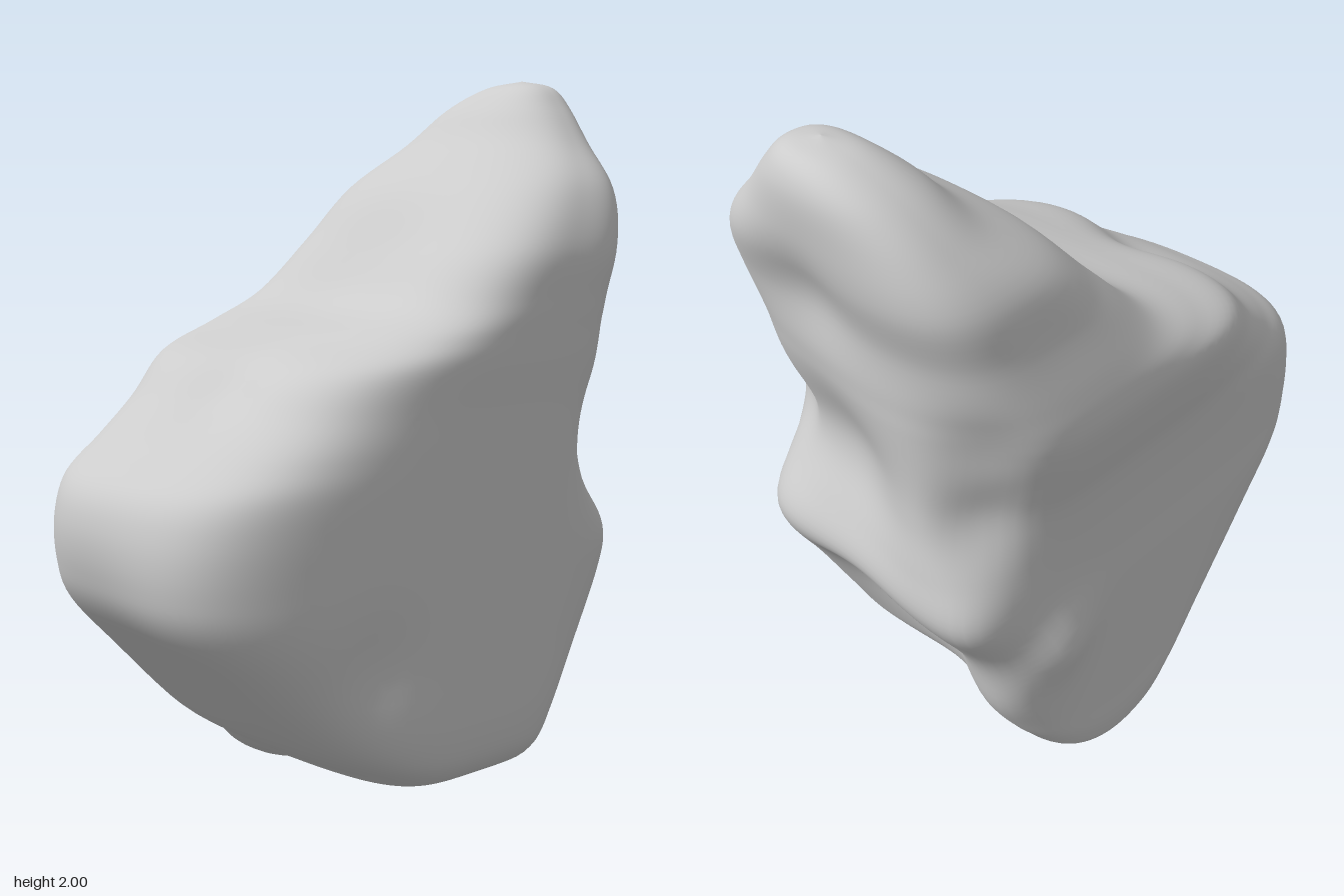
import * as THREE from 'three';

// Horizontal sections: y, front z, back z, x at the model's right, x at its left
const SECTIONS = [
  [0.14, -0.1, -0.1, -0.02, -0.02],
  [0.14, 0.04, -0.24, -0.25, 0.22],
  [0.15, 0.15, -0.34, -0.4, 0.39],
  [0.2, 0.24, -0.39, -0.435, 0.465],
  [0.3, 0.4, -0.45, -0.435, 0.49],
  [0.5, 0.6, -0.58, -0.435, 0.49],
  [0.65, 0.74, -0.67, -0.435, 0.49],
  [0.76, 0.785, -0.72, -0.43, 0.49],
  [0.88, 0.79, -0.715, -0.43, 0.49],
  [0.98, 0.75, -0.71, -0.435, 0.49],
  [1.06, 0.64, -0.71, -0.445, 0.49],
  [1.15, 0.51, -0.71, -0.47, 0.49],
  [1.26, 0.38, -0.71, -0.495, 0.495],
  [1.33, 0.2, -0.71, -0.495, 0.495],
  [1.41, 0.03, -0.71, -0.475, 0.495],
  [1.55, -0.1, -0.72, -0.43, 0.485],
  [1.7, -0.25, -0.77, -0.4, 0.41],
  [1.82, -0.43, -0.785, -0.31, 0.285],
  [1.92, -0.52, -0.78, -0.2, 0.195],
  [1.98, -0.59, -0.74, -0.08, 0.13],
  [2.0, -0.66, -0.66, 0.04, 0.04],
];

// Dents and swellings: centre, radius, push
const LUMPS = [
  [[0.44, 1.03, -0.72], 0.2, [-0.05, 0, 0.17]],    // waist at the rear left corner
  [[0.45, 1.36, -0.7], 0.18, [-0.04, 0, 0.04]],    // worn corner above it
  [[0.1, 1.08, -0.72], 0.22, [0, 0, 0.1]],         // hollow in the back
  [[-0.46, 1.08, -0.7], 0.17, [0.07, 0, 0.08]],    // waist at the rear right corner
  [[-0.47, 1.3, -0.72], 0.17, [0.05, 0, 0.06]],    // worn corner above it
  [[-0.44, 0.74, -0.67], 0.14, [-0.025, 0, -0.04]],// rear ledge corner
  [[0.02, 0.5, -0.58], 0.2, [0, 0.06, 0.12]],      // hollow under the rear ledge
  [[0.08, 1.62, -0.74], 0.14, [0, 0, 0.03]],       // dimple below the peak
  [[-0.02, 1.5, -0.08], 0.26, [0, -0.03, -0.025]], // hollow in the upper slope
  [[0.05, 1.2, 0.42], 0.13, [0, -0.025, -0.025]],  // step on the front shoulder
  [[-0.35, 0.3, -0.45], 0.2, [0, 0, -0.08]],       // swelling behind the foot
  [[-0.44, 0.56, -0.42], 0.12, [-0.05, 0, 0]],     // knob on the right side
  [[0.48, 0.53, 0.28], 0.13, [-0.02, 0, 0]],       // dimple on the left side
];

function createRock() {
  const curve = (f) => new THREE.CatmullRomCurve3(
    SECTIONS.map((s) => new THREE.Vector3(...f(s))), false, 'catmullrom', 0.5);
  const depth = curve(([y, front, back]) => [front, y, back]);
  const width = curve(([y, , , right, left]) => [right, y, left]);
  const { lerp, smoothstep } = THREE.MathUtils;
  const rings = 120, sides = 120, points = [], index = [];
  const p = new THREE.Vector3(), c = new THREE.Vector3(), push = new THREE.Vector3();

  for (let i = 0; i <= rings; i++) {
    const d = depth.getPoint(i / rings), w = width.getPoint(i / rings);
    const top = smoothstep(d.y, 1.25, 1.9);
    for (let j = 0; j < sides; j++) {
      // Rounded-square outline, tighter corners at the back, rounder at the top
      const a = (j / sides) * Math.PI * 2, cos = Math.cos(a), sin = Math.sin(a);
      const n = sin > 0 ? lerp(3.6, 2.5, top) : lerp(5.5, 2.3, top);
      const r = (Math.abs(cos) ** n + Math.abs(sin) ** n) ** (-1 / n);
      p.set((w.x + w.z) / 2 + ((w.z - w.x) / 2) * cos * r, d.y,
        (d.x + d.z) / 2 + ((d.x - d.z) / 2) * sin * r);

      for (const [centre, radius, move] of LUMPS) {
        const k = Math.exp(-p.distanceToSquared(c.set(...centre)) / radius ** 2);
        p.add(push.set(...move).multiplyScalar(k));
      }
      // Wedge-shaped foot hanging below the base on the right
      const ridge = 1 - smoothstep(Math.abs(p.z + 0.13), 0, 0.42);
      const foot = smoothstep(-p.x, -0.04, 0.38) * ridge;
      p.y -= 0.145 * foot * Math.max(0, 1 - (p.y - 0.14) / 0.35);
      // Gentle weathering
      p.z += 0.008 * Math.sin(9 * p.x + 2) * Math.sin(8 * p.y);
      p.y = Math.max(0, p.y);
      points.push(p.x, p.y, p.z);
    }
  }
  for (let i = 0; i < rings; i++) {
    for (let j = 0; j < sides; j++) {
      const k = (j + 1) % sides, a = i * sides, b = a + sides;
      index.push(a + j, b + j, a + k, b + j, b + k, a + k);
    }
  }
  const geometry = new THREE.BufferGeometry();
  geometry.setAttribute('position', new THREE.Float32BufferAttribute(points, 3));
  geometry.setIndex(index);
  geometry.computeVertexNormals();
  return geometry;
}

export function createModel() {
  const model = new THREE.Group();
  model.name = 'boulder';
  const rock = new THREE.Mesh(createRock(), new THREE.MeshStandardMaterial({ color: 0xcccccc }));
  rock.name = 'rock';
  model.add(rock);
  return model;
}
